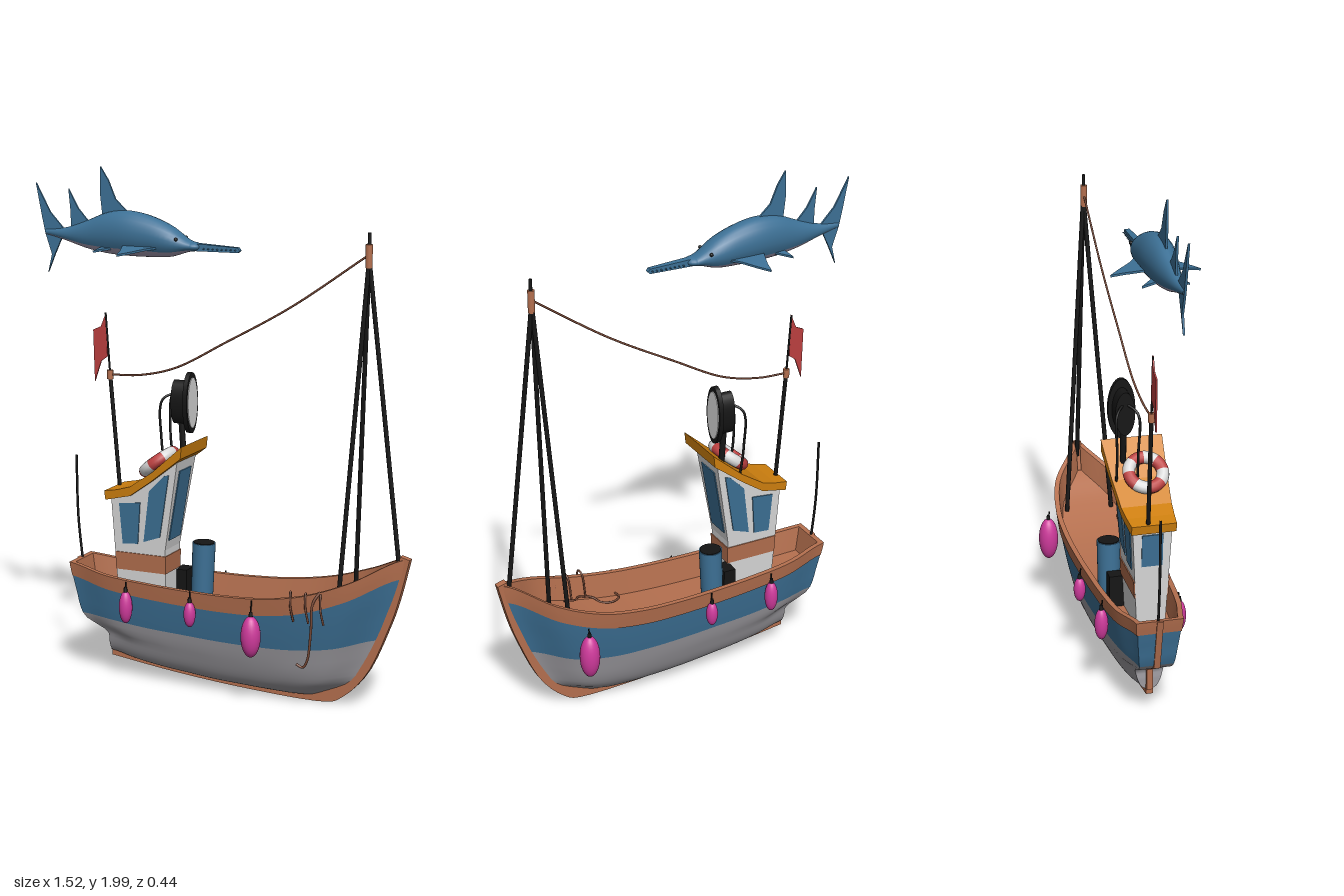
import * as THREE from 'three';

const mat = (name, color) => Object.assign(new THREE.MeshStandardMaterial({ color }), { name });
const M = {
  wood: mat('wood', 0xb5704f), blue: mat('blue paint', 0x3d7196), grey: mat('grey paint', 0x9d9ba0),
  white: mat('white paint', 0xdadada), orange: mat('orange roof', 0xcf800f), pink: mat('pink buoy', 0xcf3a9c),
  black: mat('black metal', 0x151515), red: mat('red cloth', 0xbc4040), lilac: mat('pale belly', 0xaca2ba),
  rope: mat('brown rope', 0x7c4c39),
};
const V = (x, y, z) => new THREE.Vector3(x, y, z);
const { lerp } = THREE.MathUtils;

// smooth function through evenly spaced values, t in 0..1
function spline(values) {
  const c = new THREE.SplineCurve(values.map((v, i) => new THREE.Vector2(i, v)));
  return t => c.getPoint(Math.min(1, Math.max(0, t))).y;
}

// surface fn(a, b) -> Vector3; its front faces da x db
function grid(fn, na, nb) {
  const pos = [], idx = [];
  for (let i = 0; i <= na; i++) for (let j = 0; j <= nb; j++) pos.push(...fn(i / na, j / nb).toArray());
  for (let i = 0; i < na; i++) for (let j = 0; j < nb; j++) {
    const p = i * (nb + 1) + j, q = p + nb + 1;
    idx.push(p, q, q + 1, p, q + 1, p + 1);
  }
  const g = new THREE.BufferGeometry();
  g.setAttribute('position', new THREE.Float32BufferAttribute(pos, 3));
  g.setIndex(idx);
  g.computeVertexNormals();
  return g;
}

function add(parent, name, geo, material, x = 0, y = 0, z = 0) {
  const m = new THREE.Mesh(geo, material);
  m.name = name;
  m.position.set(x, y, z);
  parent.add(m);
  return m;
}

function tube(parent, name, pts, r, material) {
  const c = new THREE.CatmullRomCurve3(pts.map(p => V(...p)));
  return add(parent, name, new THREE.TubeGeometry(c, pts.length > 2 ? pts.length * 6 : 1, r, 8), material);
}

const shapeOf = pts => new THREE.Shape(pts.map(p => new THREE.Vector2(...p)));

// side outline extruded across z, half width given by half(x, y)
function slab(parent, name, pts, half, zc, material) {
  const g = new THREE.ExtrudeGeometry(shapeOf(pts), { depth: 1, bevelEnabled: false });
  const p = g.attributes.position;
  for (let i = 0; i < p.count; i++) p.setZ(i, zc + (p.getZ(i) * 2 - 1) * half(p.getX(i), p.getY(i)));
  g.computeVertexNormals();
  return add(parent, name, g, material);
}

function buildHull(root) {
  const hull = new THREE.Group();
  hull.name = 'hull';
  root.add(hull);
  const sheer = spline([.46, .435, .425, .42, .42, .43, .46, .52, .6]);
  const keel = spline([.10, .08, .065, .055, .045, .04, .035, .03, .03]);
  const width = spline([.085, .122, .14, .15, .158, .164, .16, .122, .012]);
  const stern = spline([-.47, -.47, -.475, -.56, -.585, -.593, -.603, -.612, -.62]);
  const stem = spline([.42, .545, .59, .625, .655, .68, .705, .725, .737]);
  const water = spline([.255, .25, .24, .235, .23, .23, .235, .25, .28]);
  const point = (u, y, inset = 0) => {
    const k = keel(u), v = Math.max(0, (y - k) / (sheer(u) - k));
    return V(lerp(stern(v), stem(v), u), y, Math.max(.001, width(u) * Math.pow(v, .3) - inset));
  };
  const band = u => sheer(u) - .055 - .02 * u;
  const inU = u => lerp(.014, .98, u);
  const rim = u => point(u, sheer(u), -.004);
  const inRim = u => point(inU(u), sheer(inU(u)), .016);
  const inDeck = u => point(inU(u), sheer(inU(u)) - .1, .016);

  // outer paint bands: sides and transom
  const bands = [['bottom', keel, water, M.grey, 0, 14], ['topside', water, band, M.blue, 0, 6],
    ['sheerStrake', band, sheer, M.wood, -.004, 3]];
  for (const [name, lo, hi, m, inset, n] of bands) {
    const at = (u, b) => point(u, lerp(lo(u), hi(u), name === 'bottom' ? b * b : b), inset);
    bothSides(name, at, n, m);
    add(hull, name + 'Transom', grid((a, b) => {
      const p = at(0, b);
      return V(p.x, p.y, p.z * (2 * a - 1));
    }, 4, n), m);
  }
  // rail cap, bulwark lining and deck
  bothSides('railCap', (u, b) => rim(u).lerp(inRim(u), b), 1, M.wood);
  bothSides('bulwark', (u, b) => inRim(u).lerp(inDeck(u), b), 2, M.wood);
  const across = (p, a) => V(p.x, p.y, p.z * (2 * a - 1));
  add(hull, 'deck', grid((a, b) => across(inDeck(b), a), 4, 40), M.wood);
  add(hull, 'sternCap', grid((a, b) => across(rim(0).lerp(inRim(0), b), a), 2, 1), M.wood);
  add(hull, 'sternLining', grid((a, b) => across(inRim(0).lerp(inDeck(0), b), a), 2, 1), M.wood);

  function bothSides(name, fn, n, m) {
    for (const s of [1, -1]) add(hull, name, grid((a, b) => {
      const p = fn(s > 0 ? a : 1 - a, b);
      p.z *= s;
      return p;
    }, 48, n), m);
  }

  // keel and stem in one curved timber, and the stern post
  const curve = pts => new THREE.SplineCurve(pts.map(p => new THREE.Vector2(...p))).getPoints(30).map(p => [p.x, p.y]);
  slab(hull, 'keelAndStem', [
    ...curve([[-.475, .08], [-.2, .045], [.1, .02], [.4, .01], [.5, .04], [.6, .15], [.68, .33], [.72, .45], [.757, .6]]),
    ...curve([[.72, .61], [.69, .45], [.64, .33], [.56, .17], [.46, .075], [.38, .05], [.1, .06], [-.2, .08], [-.475, .12]]),
  ], () => .014, 0, M.wood);
  slab(hull, 'sternPost', [[-.48, .1], [-.46, .1], [-.46, .2], [-.57, .26], [-.61, .45], [-.626, .46], [-.582, .245], [-.48, .185]],
    () => .012, 0, M.wood);
}

function buildCabin(root) {
  const cabin = new THREE.Group();
  cabin.name = 'cabin';
  root.add(cabin);
  const half = (x, y) => .0545 + .05 * (y - .33);
  const proud = (x, y) => half(x, y) + .004;
  slab(cabin, 'cabinWalls', [[-.41, .32], [-.21, .32], [-.205, .55], [-.14, .93], [-.3, .8], [-.34, .77], [-.43, .745]], half, .02, M.white);
  slab(cabin, 'woodBelt', [[-.416, .455], [-.204, .455], [-.202, .525], [-.418, .525]], proud, .02, M.wood);
  slab(cabin, 'rearSideWindow', [[-.385, .56], [-.32, .565], [-.305, .73], [-.395, .72]], proud, .02, M.blue);
  slab(cabin, 'frontSideWindow', [[-.295, .575], [-.225, .6], [-.18, .85], [-.2, .845], [-.265, .78]], proud, .02, M.blue);
  add(cabin, 'frontWindow', new THREE.BoxGeometry(.008, .28, .1), M.blue, -.175, .725, .02).rotation.z = -.17;
  add(cabin, 'rearWindow', new THREE.BoxGeometry(.008, .13, .08), M.blue, -.425, .65, .02).rotation.z = .07;
  slab(cabin, 'roof', [[-.455, .765], [-.4, .775], [-.34, .793], [-.24, .86], [-.11, .972], [-.115, .925], [-.25, .82], [-.34, .757], [-.45, .73]],
    x => .118 + .097 * (x + .11), .02, M.orange);

  // life ring lying on the roof slope
  const ring = new THREE.Group();
  ring.name = 'lifeRing';
  ring.position.set(-.25, .885, .04);
  ring.rotation.z = .66;
  for (let i = 0; i < 8; i++) {
    const g = new THREE.TorusGeometry(.064, .024, 12, 6, Math.PI / 4).rotateZ(i * Math.PI / 4).rotateX(-Math.PI / 2);
    add(ring, 'ringSegment', g, i % 2 ? M.white : M.red);
  }
  cabin.add(ring);

  // searchlight on a bracket
  const lamp = new THREE.Group();
  lamp.name = 'searchlight';
  lamp.position.set(-.152, 1.11, -.03);
  const drum = (name, r, len, x, m) =>
    add(lamp, name, new THREE.CylinderGeometry(r, r, len, 32).rotateZ(-Math.PI / 2).scale(1, 1, .44), m, x);
  drum('lampRim', .118, .018, 0, M.black);
  drum('lampLens', .098, .004, .01, M.white);
  drum('lampBody', .085, .06, -.035, M.black);
  cabin.add(lamp);
  for (const z of [-.07, .01]) tube(cabin, 'lampBracket', [[-.24, .85, z], [-.255, .97, z], [-.25, 1.12, z], [-.2, 1.15, -.03]], .005, M.black);
  tube(cabin, 'lampPost', [[-.18, .9, -.03], [-.19, 1.05, -.03]], .012, M.black);

  // funnel and engine box on deck
  add(root, 'funnel', new THREE.CylinderGeometry(.045, .042, .24, 28), M.blue, -.118, .435, -.07).rotation.z = -.04;
  add(root, 'funnelMouth', new THREE.CylinderGeometry(.041, .041, .006, 28), M.black, -.113, .555, -.07).rotation.z = -.04;
  add(root, 'engineBox', new THREE.BoxGeometry(.05, .13, .07), M.black, -.19, .385, -.055);
}

function buildRigging(root) {
  // tripod mast at the bow
  for (const foot of [[.505, .4, -.095], [.505, .4, .09], [.712, .55, -.005]])
    tube(root, 'tripodLeg', [foot, [.577, 1.7, -.002]], .009, M.black);
  add(root, 'mastTip', new THREE.CylinderGeometry(.006, .008, .14, 10), M.black, .578, 1.725, 0);
  add(root, 'mastCollar', new THREE.CylinderGeometry(.013, .013, .085, 14), M.wood, .577, 1.71, 0);
  // aft mast with flag, and whip aerial
  tube(root, 'aftMast', [[-.44, .75, 0], [-.478, 1.2, 0]], .008, M.black);
  tube(root, 'flagPole', [[-.478, 1.2, 0], [-.495, 1.44, 0]], .004, M.black);
  add(root, 'mastKnob', new THREE.CylinderGeometry(.012, .012, .035, 12), M.wood, -.478, 1.2, 0);
  slab(root, 'flag', [[-.492, 1.44], [-.488, 1.27], [-.515, 1.25], [-.543, 1.17], [-.548, 1.37], [-.515, 1.385]], () => .003, 0, M.red);
  tube(root, 'aerial', [[-.608, .42, -.005], [-.628, .62, -.005], [-.633, .87, -.005]], .005, M.black);
  tube(root, 'stayCable', [[.577, 1.715, 0], [.275, 1.507, 0], [.01, 1.357, 0], [-.2, 1.245, 0], [-.35, 1.207, 0], [-.478, 1.2, 0]], .004, M.rope);

  // fender buoys on cords: x, y, z, radius, half height
  for (const [x, y, z, r, h] of [[-.345, .325, .148, .026, .064], [-.065, .335, .165, .023, .05], [.195, .285, .182, .038, .08],
    [-.342, .325, -.153, .026, .064], [-.065, .335, -.173, .023, .05], [.465, .305, -.182, .039, .088]]) {
    add(root, 'fenderBuoy', new THREE.SphereGeometry(1, 24, 16).scale(r, h, r), M.pink, x, y, z);
    add(root, 'buoyCap', new THREE.CylinderGeometry(.006, .009, .022, 10), M.black, x, y + h + .004, z);
    tube(root, 'buoyCord', [[x, y + h, z], [x, .425, z * .97]], .003, M.black);
  }

  // ropes over the rail and coiled on deck
  for (const x of [.33, .39, .45])
    tube(root, 'railRope', [[x, .36, .13], [x + .01, .46, .14], [x + .015, .47, .16], [x + .02, .42, .172], [x + .03, .36, .166]], .004, M.rope);
  tube(root, 'anchorRope', [[.46, .48, .15], [.44, .44, .172], [.43, .33, .165], [.41, .21, .15], [.39, .18, .145], [.365, .19, .145]], .005, M.rope);
  tube(root, 'deckRope', [[.2, .34, .14], [.2, .34, .1], [.24, .34, .08], [.28, .34, .1], [.3, .35, .13], [.36, .37, .13], [.39, .38, .1], [.44, .39, .1]], .004, M.rope);
}

function buildSawfish(root) {
  const fish = new THREE.Group();
  fish.name = 'sawfish';
  fish.position.z = .05;
  root.add(fish);
  const top = spline([1.755, 1.765, 1.795, 1.83, 1.84, 1.825, 1.79, 1.735]);
  const low = spline([1.735, 1.715, 1.69, 1.675, 1.67, 1.67, 1.675, 1.7]);
  const wide = spline([.008, .02, .035, .05, .06, .06, .055, .034]);
  const skin = (t0, t1) => grid((a, b) => {
    const t = lerp(t0, t1, b), h = (top(a) - low(a)) / 2;
    return V(lerp(-.72, -.1, a), low(a) + h + h * Math.cos(t), -wide(a) * Math.sin(t));
  }, 32, 16);
  const cut = .85;
  add(fish, 'back', skin(cut - Math.PI, Math.PI - cut), M.blue);
  add(fish, 'belly', skin(Math.PI - cut, Math.PI + cut), M.lilac);
  add(fish, 'snout', new THREE.SphereGeometry(1, 20, 12).scale(.035, .0178, .034), M.blue, -.1, 1.7175, 0);

  // toothed saw
  slab(fish, 'saw', [[-.12, 1.702], [.085, 1.703], [.093, 1.711], [.085, 1.722], [-.12, 1.732]], x => .015 - .03 * (x + .1), 0, M.blue);
  for (const s of [1, -1]) {
    for (let i = 0; i < 8; i++)
      add(fish, 'sawTooth', new THREE.ConeGeometry(.004, .014, 6).rotateX(s * Math.PI / 2), M.blue, -.05 + i * .018, 1.712, s * (.018 - i * .0005));
    add(fish, 'eye', new THREE.SphereGeometry(.007, 10, 8), M.black, -.15, 1.745, s * .044);
    sideFin('pectoralFin', [[-.2, .03], [-.26, .08], [-.3, .13], [-.335, .168], [-.345, .12], [-.375, .03]], 1.715, s);
    sideFin('pelvicFin', [[-.41, .025], [-.475, .088], [-.465, .025]], 1.7, s);
  }
  // upright fins
  const thin = () => .004;
  slab(fish, 'tailFin', [[-.64, 1.757], [-.7, 1.82], [-.76, 1.93], [-.735, 1.8], [-.722, 1.74], [-.695, 1.66], [-.712, 1.59], [-.682, 1.66], [-.65, 1.728]], thin, 0, M.blue);
  slab(fish, 'dorsalFin', [[-.36, 1.825], [-.42, 1.88], [-.45, 1.95], [-.483, 2], [-.485, 1.9], [-.475, 1.81]], thin, 0, M.blue);
  slab(fish, 'rearDorsalFin', [[-.53, 1.785], [-.58, 1.84], [-.62, 1.912], [-.612, 1.83], [-.61, 1.76]], thin, 0, M.blue);

  // drooping fin outlined as x and distance from the middle
  function sideFin(name, pts, y, s) {
    const g = new THREE.ExtrudeGeometry(shapeOf(pts.map(([x, d]) => [x, s * d])), { depth: .008, bevelEnabled: false });
    add(fish, name, g.rotateX(Math.PI / 2 + s * .18), M.blue, 0, y + .008, 0);
  }
}

export function createModel() {
  const root = new THREE.Group();
  root.name = 'fishingBoat';
  buildHull(root);
  buildCabin(root);
  buildRigging(root);
  buildSawfish(root);
  return root;
}
